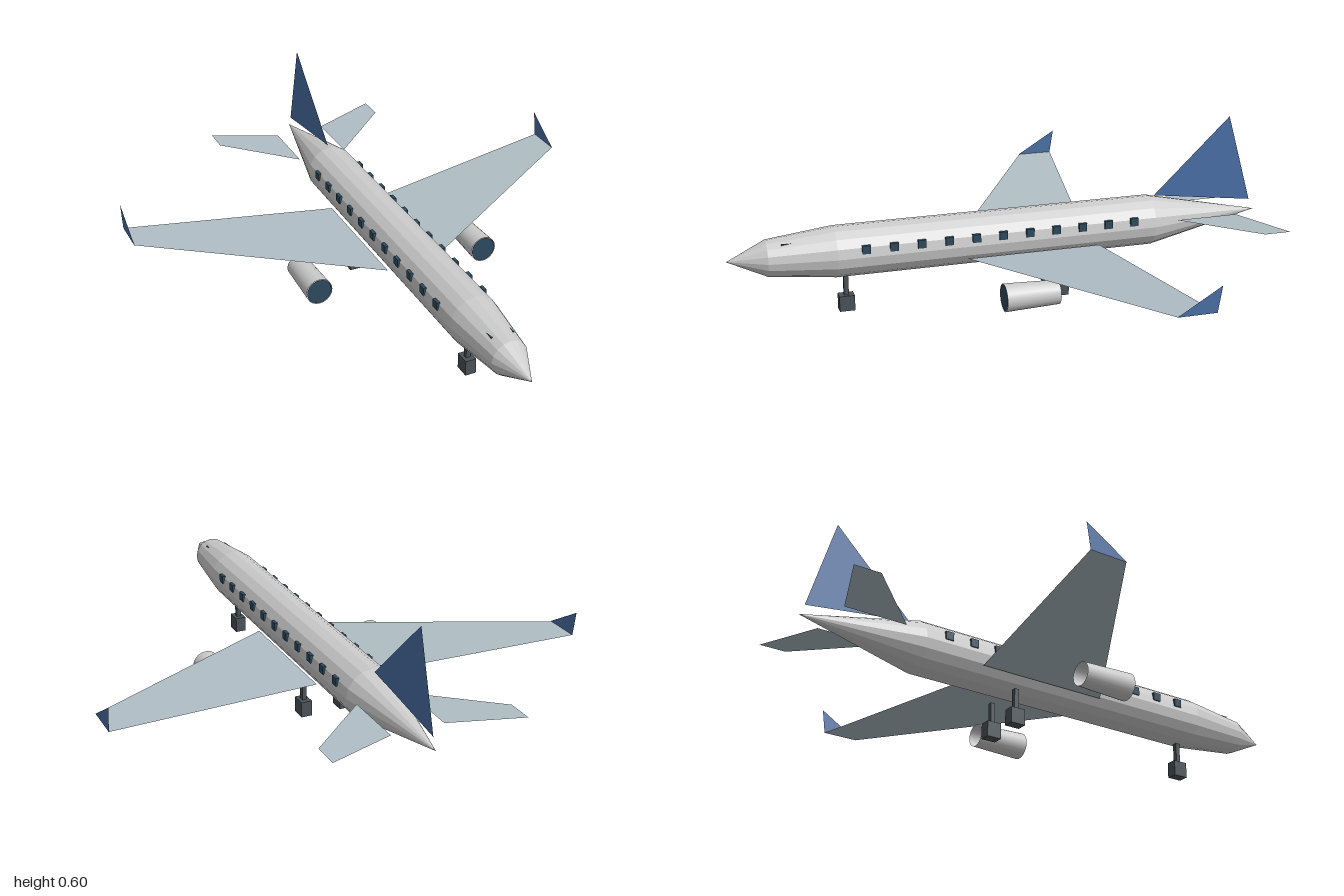
import * as THREE from 'three';

const paint = (color, extra = {}) => new THREE.MeshStandardMaterial({ color, ...extra });
const grey = paint(0xcccccc, { flatShading: true });
const shell = paint(0xcccccc, { side: THREE.DoubleSide });
const wingPaint = paint(0xb0bec5, { side: THREE.DoubleSide, flatShading: true });
const blue = paint(0x4a6fa5, { side: THREE.DoubleSide, flatShading: true });
const glass = paint(0x2c4a5e, { side: THREE.DoubleSide });
const dark = paint(0x4a5258);

export function createModel() {
  const model = new THREE.Group();
  model.name = 'airliner';

  const add = (name, geometry, material, x = 0, y = 0, z = 0) => {
    const mesh = new THREE.Mesh(geometry, material);
    mesh.name = name;
    mesh.position.set(x, y, z);
    model.add(mesh);
    return mesh;
  };

  // Thin sheet from three or four corners in order, as a fan
  const sheet = (name, corners, material) => {
    const geometry = new THREE.BufferGeometry();
    geometry.setAttribute('position', new THREE.Float32BufferAttribute(corners.flat(), 3));
    geometry.setIndex(corners.length === 4 ? [0, 1, 2, 0, 2, 3] : [0, 1, 2]);
    geometry.computeVertexNormals();
    return add(name, geometry, material);
  };

  // Fuselage: faceted tube with a tapered nose and a long tail cone
  const axisY = 0.228;
  const profile = [[0, -1], [0.093, -0.567], [0.093, 0.62], [0.066, 0.86], [0, 1]];
  const body = new THREE.LatheGeometry(profile.map(([r, z]) => new THREE.Vector2(r, z)), 16);
  body.rotateX(Math.PI / 2);
  add('fuselage', body, grey, 0, axisY, 0);

  // Cockpit glazing, just breaking the skin
  add('cockpit', new THREE.BoxGeometry(0.084, 0.03, 0.04), glass, 0, 0.274, 0.79);

  for (const s of [1, -1]) {
    const side = s > 0 ? 'left' : 'right';
    const mirrored = (points) => {
      const corners = points.map(([x, y, z]) => [s * x, y, z]);
      return s > 0 ? corners : corners.reverse();
    };

    // Cabin windows
    for (let i = 0; i < 11; i++) {
      add(side + 'Window', new THREE.BoxGeometry(0.012, 0.03, 0.03), glass, s * 0.089, 0.257, 0.52 - i * 0.1);
    }

    // Swept wing with upturned tip
    sheet(side + 'Wing', mirrored([
      [0.093, 0.183, 0.153], [0.878, 0.233, -0.328], [0.878, 0.233, -0.463], [0.093, 0.183, -0.344],
    ]), wingPaint);
    sheet(side + 'Winglet', mirrored([
      [0.878, 0.233, -0.325], [0.878, 0.233, -0.463], [0.878, 0.326, -0.477],
    ]), blue);

    // Tailplane
    sheet(side + 'Tailplane', mirrored([
      [0.096, 0.249, -0.65], [0.347, 0.26, -0.884], [0.347, 0.26, -0.982], [0.096, 0.249, -0.884],
    ]), wingPaint);

    // Engine: open nacelle with a dark intake disc
    const nacelle = new THREE.CylinderGeometry(0.05, 0.043, 0.196, 20, 1, true);
    nacelle.rotateX(Math.PI / 2);
    add(side + 'Engine', nacelle, shell, s * 0.333, 0.123, -0.009);
    add(side + 'Intake', new THREE.CircleGeometry(0.047, 20), glass, s * 0.333, 0.123, 0.088);
  }

  // Tail fin
  sheet('tailFin', [[0, 0.32, -0.59], [0, 0.604, -0.882], [0, 0.268, -0.98]], blue);

  // Landing gear: nose leg and two main legs
  for (const [name, x, z] of [['noseGear', 0, 0.583], ['leftGear', 0.076, -0.2], ['rightGear', -0.076, -0.2]]) {
    add(name + 'Leg', new THREE.BoxGeometry(0.017, 0.085, 0.017), dark, x, 0.0925, z);
    add(name + 'Wheel', new THREE.BoxGeometry(0.04, 0.058, 0.056), dark, x, 0.029, z);
  }

  return model;
}
